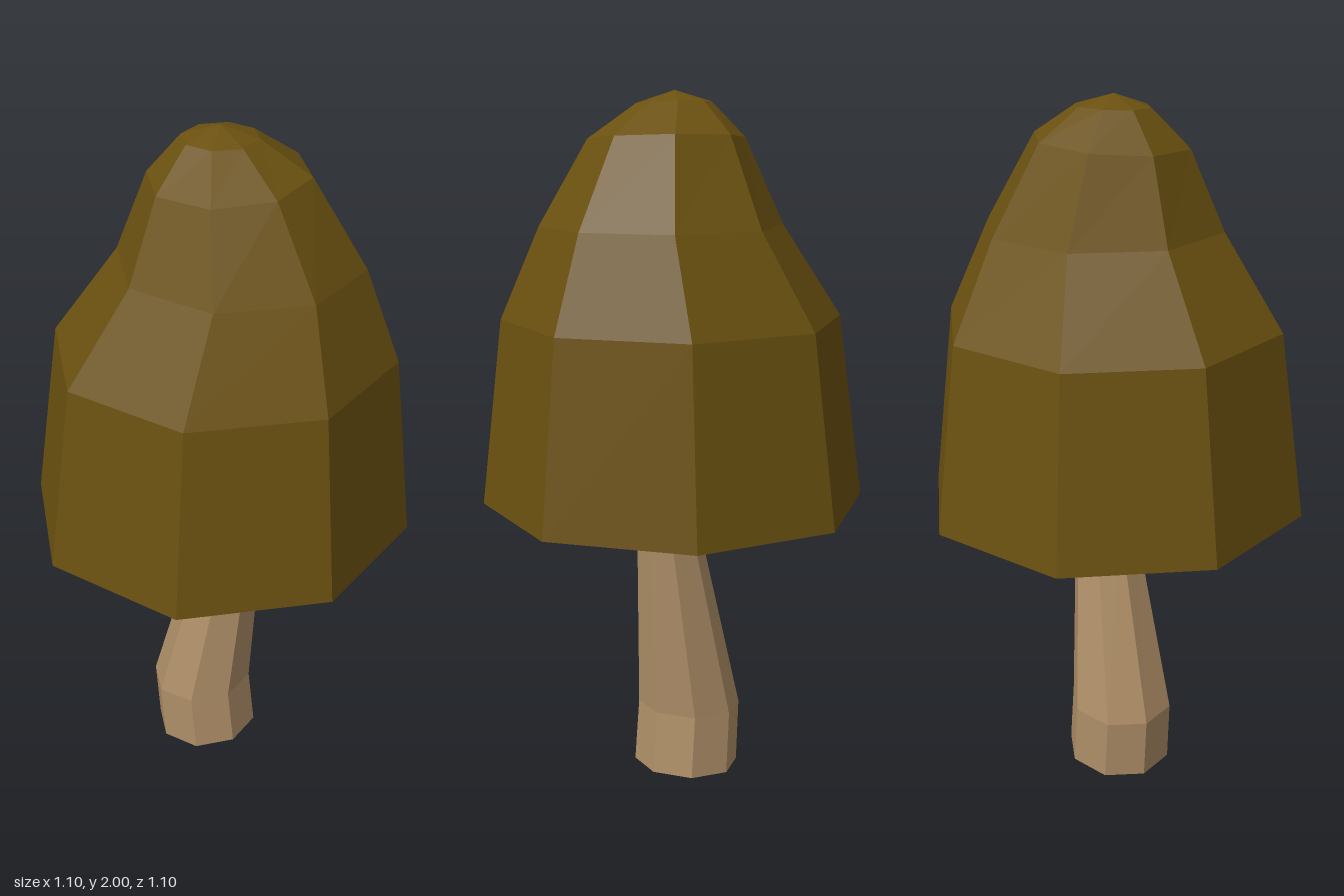
import * as THREE from 'three';

const SIDES = 8;

// Corner i of a ring: centre (x, y, z), radius r, tilt = rise of y per unit of x and z.
function corner({ x = 0, y, z = 0, r, tiltX = 0, tiltZ = 0 }, i) {
  const a = (i / SIDES) * Math.PI * 2;
  const dx = Math.cos(a) * r;
  const dz = -Math.sin(a) * r;
  return [x + dx, y + dx * tiltX + dz * tiltZ, z + dz];
}

// Skin consecutive rings; a ring of radius 0 closes to a point.
function loft(name, rings, color) {
  const pos = [];
  for (let k = 0; k < rings.length - 1; k++) {
    const lo = rings[k];
    const hi = rings[k + 1];
    for (let i = 0; i < SIDES; i++) {
      const a = corner(lo, i), b = corner(lo, i + 1);
      const c = corner(hi, i + 1), d = corner(hi, i);
      if (lo.r > 0) pos.push(...a, ...b, ...c);
      if (hi.r > 0) pos.push(...a, ...c, ...d);
    }
  }
  const geometry = new THREE.BufferGeometry();
  geometry.setAttribute('position', new THREE.Float32BufferAttribute(pos, 3));
  geometry.computeVertexNormals();
  const mesh = new THREE.Mesh(geometry, new THREE.MeshStandardMaterial({ color, flatShading: true }));
  mesh.name = name;
  return mesh;
}

export function createModel() {
  const group = new THREE.Group();
  group.name = 'mushroom';

  // Bent stem, from its closed foot up into the cap
  group.add(loft('stem', [
    { x: -0.045, y: 0.016, z: -0.008, r: 0 },
    { x: -0.045, y: 0.016, z: -0.008, r: 0.155, tiltX: 0.08 },
    { x: -0.06, y: 0.2, z: -0.008, r: 0.152, tiltX: 0.08 },
    { x: 0.042, y: 0.79, z: -0.008, r: 0.088, tiltX: -0.06 },
    { x: 0.01, y: 1.2, z: -0.008, r: 0.08 },
  ], 0xb09068));

  // Hollow cap: ceiling, inner wall, rim, then the lopsided outside to the tip
  group.add(loft('cap', [
    { y: 1.18, r: 0 },
    { y: 1.18, r: 0.38 },
    { y: 0.85, r: 0.55 },
    { x: 0.01, y: 1.38, r: 0.48 },
    { x: 0.055, y: 1.64, r: 0.337 },
    { x: 0.025, y: 1.873, z: 0.007, r: 0.217, tiltX: 0.04, tiltZ: -0.05 },
    { x: 0.002, y: 1.968, r: 0.103, tiltZ: -0.03 },
    { y: 2, r: 0 },
  ], 0x6b5110));

  return group;
}
